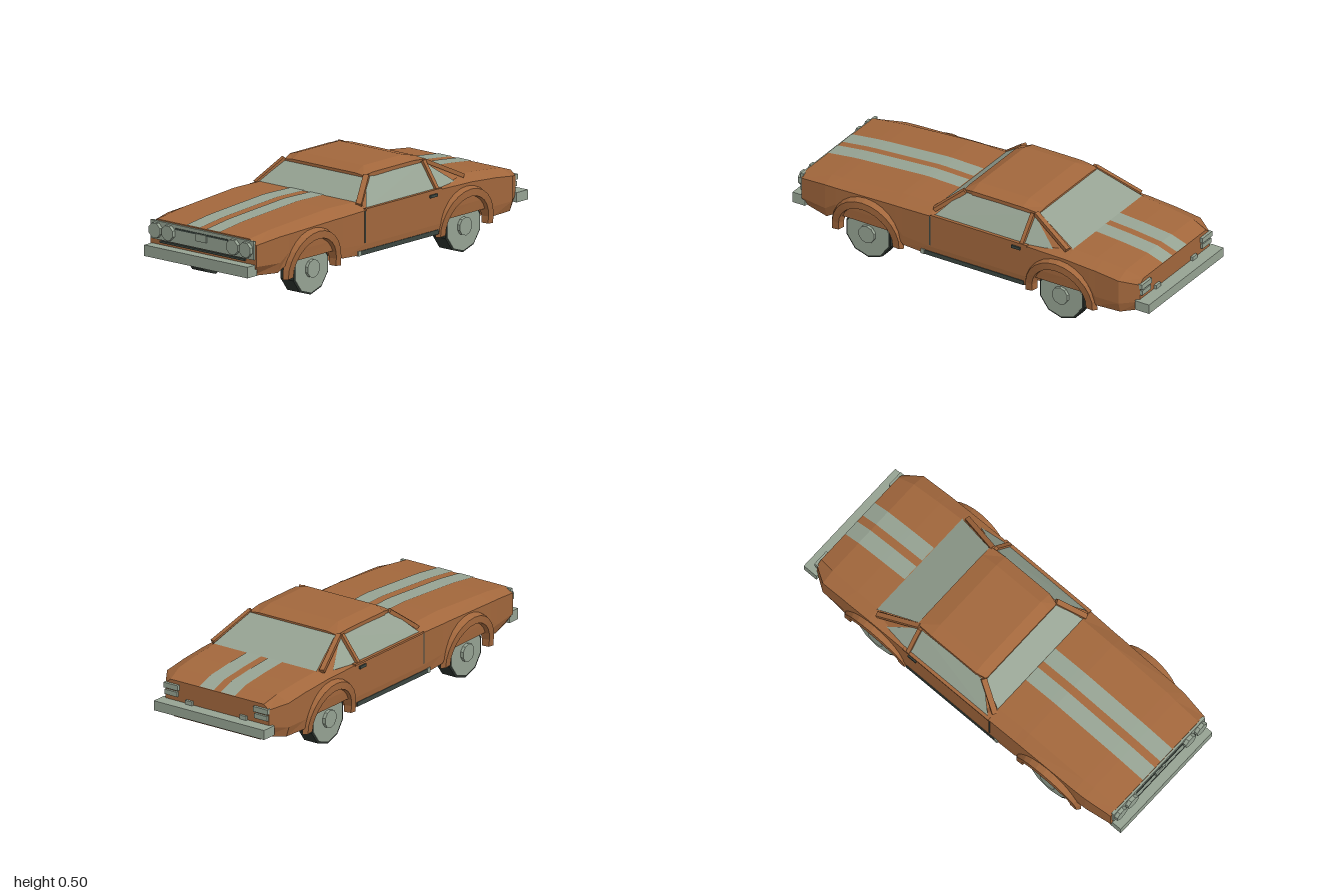
import * as THREE from 'three';

const mat = (name, color, side = THREE.FrontSide) =>
  Object.assign(new THREE.MeshStandardMaterial({ color, flatShading: true, side }), { name });

export function createModel() {
  const paint = mat('copper paint', 0xa2673c, THREE.DoubleSide);
  const silver = mat('grey green', 0x96a393, THREE.DoubleSide);
  const rubber = mat('tyre rubber', 0x29302b);
  const dark = mat('dark trim', 0x3c4741);
  const car = new THREE.Group();
  car.name = 'car';

  const add = (name, geo, material, x = 0, y = 0, z = 0) => {
    const m = new THREE.Mesh(geo, material);
    m.name = name;
    m.position.set(x, y, z);
    car.add(m);
    return m;
  };
  const box = (name, material, w, h, d, x, y, z) =>
    add(name, new THREE.BoxGeometry(w, h, d), material, x, y, z);

  const mesh3 = (pos) => {
    const g = new THREE.BufferGeometry();
    g.setAttribute('position', new THREE.Float32BufferAttribute(pos, 3));
    g.computeVertexNormals();
    return g;
  };
  const quad = (a, b, c, d) => [...a, ...b, ...c, ...a, ...c, ...d];

  // Skin a list of closed rings and cap both ends
  const skin = (rings) => {
    const pos = [], n = rings[0].length, last = rings[rings.length - 1];
    for (let k = 0; k + 1 < rings.length; k++)
      for (let i = 0; i < n; i++) {
        const j = (i + 1) % n;
        pos.push(...quad(rings[k][i], rings[k + 1][i], rings[k + 1][j], rings[k][j]));
      }
    for (let i = 1; i + 1 < n; i++) {
      pos.push(...rings[0][0], ...rings[0][i], ...rings[0][i + 1]);
      pos.push(...last[0], ...last[i + 1], ...last[i]);
    }
    return mesh3(pos);
  };
  // Mirror a half profile (bottom centre to top centre) into a ring at z
  const ring = (z, half) => [
    ...half.map(([x, y]) => [x, y, z]),
    ...half.slice(1, -1).reverse().map(([x, y]) => [-x, y, z]),
  ];

  // Square bar between two points
  const bar = (name, material, a, b, w, h) => {
    const p = new THREE.Vector3(...a), q = new THREE.Vector3(...b);
    const m = add(name, new THREE.BoxGeometry(w, h, p.distanceTo(q)), material);
    m.position.copy(p).lerp(q, 0.5);
    m.lookAt(q);
  };

  // Body sections: z, floor y, skirt y, skirt x, side x, shoulder y, top edge x, top y
  const sections = [
    [0.945, 0.15, 0.155, 0.30, 0.335, 0.31, 0.29, 0.335],
    [0.80, 0.135, 0.15, 0.34, 0.355, 0.328, 0.292, 0.353],
    [0.74, 0.13, 0.19, 0.355, 0.358, 0.33, 0.295, 0.358],
    [0.40, 0.115, 0.19, 0.36, 0.362, 0.34, 0.297, 0.38],
    [0.36, 0.11, 0.14, 0.36, 0.362, 0.34, 0.298, 0.38],
    [0.205, 0.105, 0.13, 0.36, 0.365, 0.345, 0.30, 0.376],
    [0.16, 0.105, 0.13, 0.36, 0.365, 0.345, 0.32, 0.35],
    [-0.30, 0.105, 0.13, 0.36, 0.365, 0.345, 0.32, 0.35],
    [-0.34, 0.108, 0.13, 0.36, 0.365, 0.345, 0.31, 0.355],
    [-0.36, 0.108, 0.19, 0.36, 0.365, 0.345, 0.31, 0.358],
    [-0.56, 0.115, 0.19, 0.36, 0.364, 0.34, 0.30, 0.37],
    [-0.69, 0.12, 0.19, 0.358, 0.363, 0.33, 0.296, 0.36],
    [-0.72, 0.122, 0.14, 0.355, 0.362, 0.328, 0.295, 0.357],
    [-0.85, 0.128, 0.14, 0.345, 0.36, 0.312, 0.29, 0.342],
    [-0.935, 0.13, 0.15, 0.28, 0.305, 0.29, 0.275, 0.313],
  ];
  add('body', skin(sections.map(([z, yb, ys, xs, w, sh, xt, yt]) => ring(z, [
    [0, yb], [0.255, yb], [0.255, ys], [xs, ys], [w, ys + 0.05], [w, sh], [xt, yt], [0, yt],
  ]))), paint);

  // Racing stripes following the hood and boot lid
  const stripe = (name, from, to, x0, x1) => {
    const pos = [], s = sections.filter(([z]) => z <= from && z >= to);
    for (let k = 0; k + 1 < s.length; k++) {
      const [z0, z1, y0, y1] = [s[k][0], s[k + 1][0], s[k][7] + 0.003, s[k + 1][7] + 0.003];
      pos.push(...quad([x0, y0, z0], [x1, y0, z0], [x1, y1, z1], [x0, y1, z1]));
    }
    add(name, mesh3(pos), silver);
  };
  for (const [a, b] of [[0.02, 0.105], [-0.105, -0.02]]) {
    stripe('hoodStripe', 0.945, 0.2, a, b);
    stripe('bootStripe', -0.56, -0.935, a, b);
  }

  // Roof
  const roof = [[0.085, 0.478, 0.472, 0.25], [0.03, 0.505, 0.485, 0.265],
    [-0.25, 0.505, 0.485, 0.265], [-0.34, 0.483, 0.476, 0.26]];
  add('roof', skin(roof.map(([z, yt, ye, x]) =>
    ring(z, [[0, 0.463], [x, 0.463], [x, ye], [0.2, yt], [0, yt]]))), paint);

  // Windscreen and rear window
  const pane = (name, a, b, c, d, m = silver) => add(name, mesh3(quad(a, b, c, d)), m);
  pane('windscreen', [-0.305, 0.374, 0.205], [0.305, 0.374, 0.205], [0.25, 0.468, 0.08], [-0.25, 0.468, 0.08]);
  pane('rearWindow', [0.305, 0.369, -0.56], [-0.305, 0.369, -0.56], [-0.25, 0.476, -0.335], [0.25, 0.476, -0.335]);

  for (const s of [1, -1]) {
    // Side glass and pillars
    pane('sideWindow', [s * 0.357, 0.347, 0.19], [s * 0.357, 0.347, -0.305],
      [s * 0.268, 0.467, -0.31], [s * 0.262, 0.467, 0.08]);
    add('quarterWindow', mesh3([s * 0.355, 0.35, -0.32, s * 0.335, 0.355, -0.47, s * 0.268, 0.465, -0.325]), silver);
    pane('rearPillarPanel', [s * 0.33, 0.355, -0.45], [s * 0.31, 0.365, -0.56],
      [s * 0.25, 0.476, -0.335], [s * 0.268, 0.465, -0.325], paint);
    bar('frontPillar', paint, [s * 0.325, 0.365, 0.205], [s * 0.258, 0.472, 0.075], 0.028, 0.02);
    bar('doorPillar', paint, [s * 0.36, 0.35, -0.31], [s * 0.27, 0.473, -0.315], 0.02, 0.02);
    bar('rearPillar', paint, [s * 0.322, 0.368, -0.54], [s * 0.262, 0.474, -0.325], 0.024, 0.02);
    bar('beltRail', paint, [s * 0.36, 0.348, 0.2], [s * 0.36, 0.348, -0.34], 0.018, 0.01);

    // Doors and sills
    box('doorGap', dark, 0.006, 0.155, 0.008, s * 0.364, 0.265, 0.205);
    box('doorHandle', dark, 0.014, 0.014, 0.05, s * 0.366, 0.325, -0.28);
    box('sillTrim', dark, 0.02, 0.022, 0.56, s * 0.356, 0.142, -0.04);
    box('sillEnd', silver, 0.022, 0.024, 0.02, s * 0.356, 0.142, 0.245);

    // Headlights
    for (const x of [0.285, 0.205]) {
      const lamp = add('headlight', new THREE.CylinderGeometry(0.038, 0.038, 0.022, 8), silver, s * x, 0.285, 0.963);
      lamp.rotation.set(Math.PI / 2, Math.PI / 8, 0);
    }
    // Tail lights
    box('upperTailLight', silver, 0.085, 0.026, 0.025, s * 0.265, 0.282, -0.937);
    box('lowerTailLight', silver, 0.075, 0.024, 0.02, s * 0.265, 0.248, -0.937);
    box('bumperBracket', silver, 0.04, 0.02, 0.015, s * 0.16, 0.222, -0.94);

    // Wheels and flared arches
    for (const z of [0.565, -0.52]) {
      const disc = (name, r, w, x, m, n) => {
        const d = add(name, new THREE.CylinderGeometry(r, r, w, n).rotateY(Math.PI / 2), m, s * x, 0.13, z);
        d.rotation.z = Math.PI / 2;
      };
      disc('tyre', 0.13, 0.08, 0.30, rubber, 10);
      disc('wheelDisc', 0.12, 0.006, 0.341, silver, 10);
      disc('hubCap', 0.045, 0.02, 0.35, silver, 10);

      const rings = [];
      for (let k = 0; k <= 14; k++) {
        const t = -0.1 + (Math.PI + 0.2) * k / 14;
        const bulge = 0.365 + 0.03 * Math.max(0, Math.sin(t));
        rings.push([[0.145, 0.33], [0.152, bulge], [0.188, bulge], [0.203, 0.345]]
          .map(([r, x]) => [x, r * Math.sin(t), r * Math.cos(t)]));
      }
      const flare = add('wheelArch', skin(rings.reverse()), paint, 0, 0.13, z);
      flare.rotation.y = s > 0 ? 0 : Math.PI;
    }
  }

  // Nose: grille panel, slats, centre plate
  box('grillePanel', silver, 0.65, 0.09, 0.015, 0, 0.284, 0.948);
  box('upperSlat', dark, 0.33, 0.008, 0.006, 0, 0.309, 0.957);
  box('lowerSlat', dark, 0.535, 0.01, 0.015, 0, 0.23, 0.948);
  box('centrePlate', silver, 0.066, 0.036, 0.008, 0, 0.292, 0.961);

  // Bumpers
  box('frontBumper', silver, 0.652, 0.054, 0.07, 0, 0.186, 0.965);
  box('rearBumper', silver, 0.652, 0.048, 0.08, 0, 0.188, -0.96);

  return car;
}
